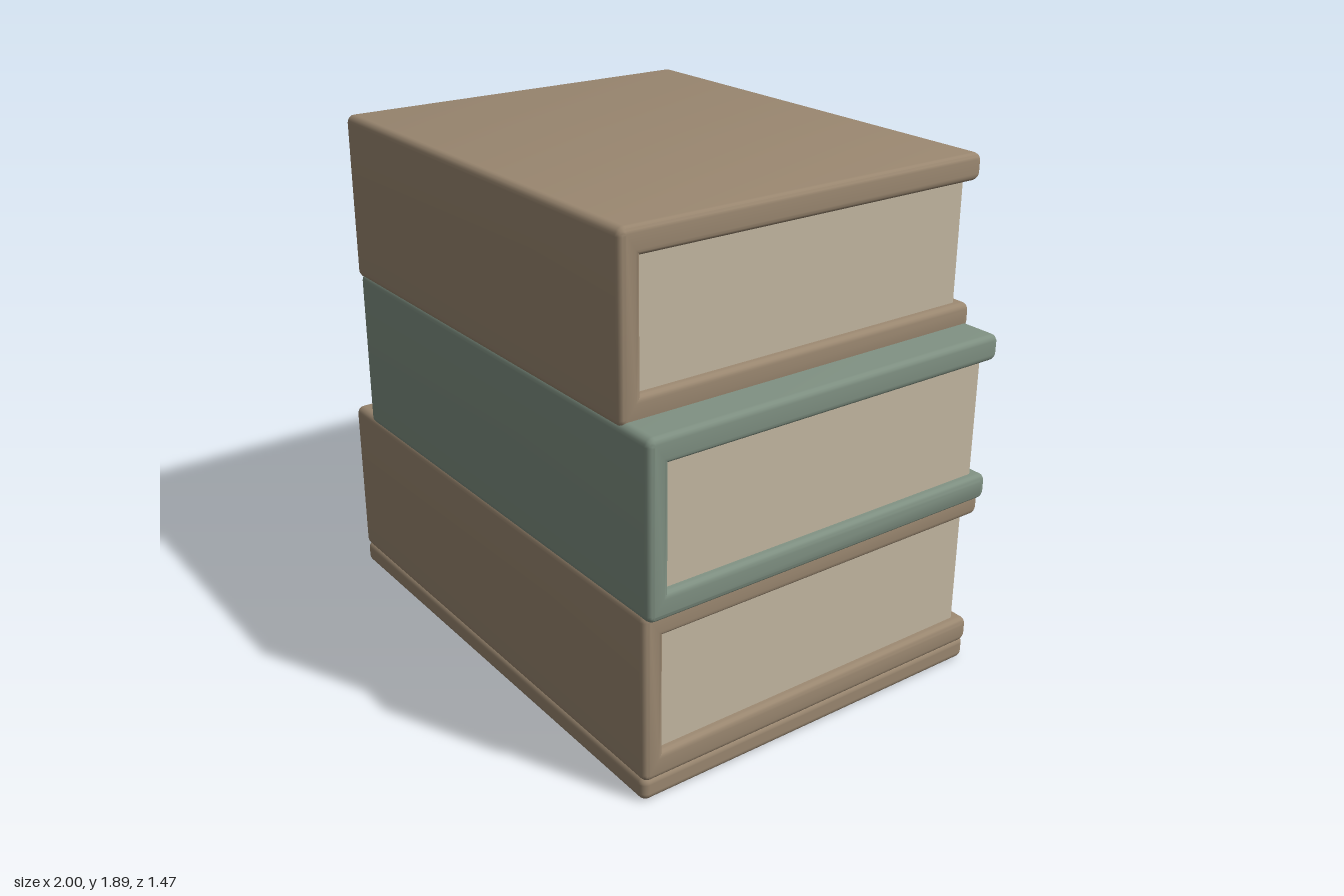
import * as THREE from 'three';
import { toCreasedNormals } from 'three/addons/utils/BufferGeometryUtils.js';
import { RoundedBoxGeometry } from 'three/addons/geometries/RoundedBoxGeometry.js';

const BEVEL = 0.022, DEPTH = 0.733, BOARD = 0.095, SPINE = 0.08;
const PAGE_INSET_X = 0.032, PAGE_BACK = -0.685;

const brown = new THREE.MeshStandardMaterial({ name: 'brownCover', color: 0x9a8770 });
const green = new THREE.MeshStandardMaterial({ name: 'greenCover', color: 0x7e8f81 });
const paper = new THREE.MeshStandardMaterial({ name: 'paper', color: 0xc3b7a1 });

// Closed outline whose corners are cut by small curves, except those marked sharp
function roundedOutline(points, r) {
  const shape = new THREE.Shape();
  const n = points.length;
  points.forEach(([x, y, sharp], i) => {
    const p = new THREE.Vector2(x, y);
    const toward = (q) => p.clone().add(new THREE.Vector2(q[0], q[1]).sub(p).setLength(r));
    const a = sharp ? p : toward(points[(i + n - 1) % n]);
    const b = sharp ? p : toward(points[(i + 1) % n]);
    if (i === 0) shape.moveTo(a.x, a.y);
    else shape.lineTo(a.x, a.y);
    if (!sharp) shape.quadraticCurveTo(p.x, p.y, b.x, b.y);
  });
  shape.closePath();
  return shape;
}

// C-shaped cover: two boards joined by the spine, extruded along x
function coverGeometry(x0, x1, y0, y1) {
  const b = BEVEL;
  const front = -DEPTH + b, back = DEPTH - b, inner = -DEPTH + SPINE - b;
  const low = y0 + BOARD - b, high = y1 - BOARD + b;
  const shape = roundedOutline([
    [front, y0 + b], [back, y0 + b], [back, low], [inner, low, true],
    [inner, high, true], [back, high], [back, y1 - b], [front, y1 - b],
  ], 0.008);
  const geometry = new THREE.ExtrudeGeometry(shape, {
    depth: x1 - x0 - 2 * b, bevelSize: b, bevelThickness: b, bevelSegments: 4, curveSegments: 4,
  });
  geometry.rotateY(Math.PI / 2).translate(x0 + b, 0, 0);
  return toCreasedNormals(geometry, 0.7);
}

function addMesh(parent, name, geometry, material) {
  const mesh = new THREE.Mesh(geometry, material);
  mesh.name = name;
  parent.add(mesh);
  return mesh;
}

function makeBook(name, x0, x1, y0, y1, material) {
  const book = new THREE.Group();
  book.name = name;
  addMesh(book, 'cover', coverGeometry(x0, x1, y0, y1), material);
  // Page block, tucked slightly into the boards and spine
  const front = DEPTH - SPINE + 0.01;
  const pages = addMesh(book, 'pages', new RoundedBoxGeometry(
    x1 - x0 - 2 * PAGE_INSET_X, y1 - y0 - 2 * BOARD + 0.03, front - PAGE_BACK, 2, 0.008), paper);
  pages.position.set((x0 + x1) / 2, (y0 + y1) / 2, (front + PAGE_BACK) / 2);
  return book;
}

export function createModel() {
  const model = new THREE.Group();
  model.name = 'bookStack';

  // Thin board under the stack
  const base = addMesh(model, 'baseBoard',
    new RoundedBoxGeometry(1.967, 0.09, 2 * DEPTH, 4, 0.028), brown);
  base.position.set(-0.0165, 0.045, 0);

  // Three books, each slid sideways a little
  model.add(
    makeBook('bottomBook', -1, 0.972, 0.078, 0.698, brown),
    makeBook('middleBook', -0.862, 0.998, 0.677, 1.297, green),
    makeBook('topBook', -0.885, 0.857, 1.275, 1.895, brown),
  );
  return model;
}
